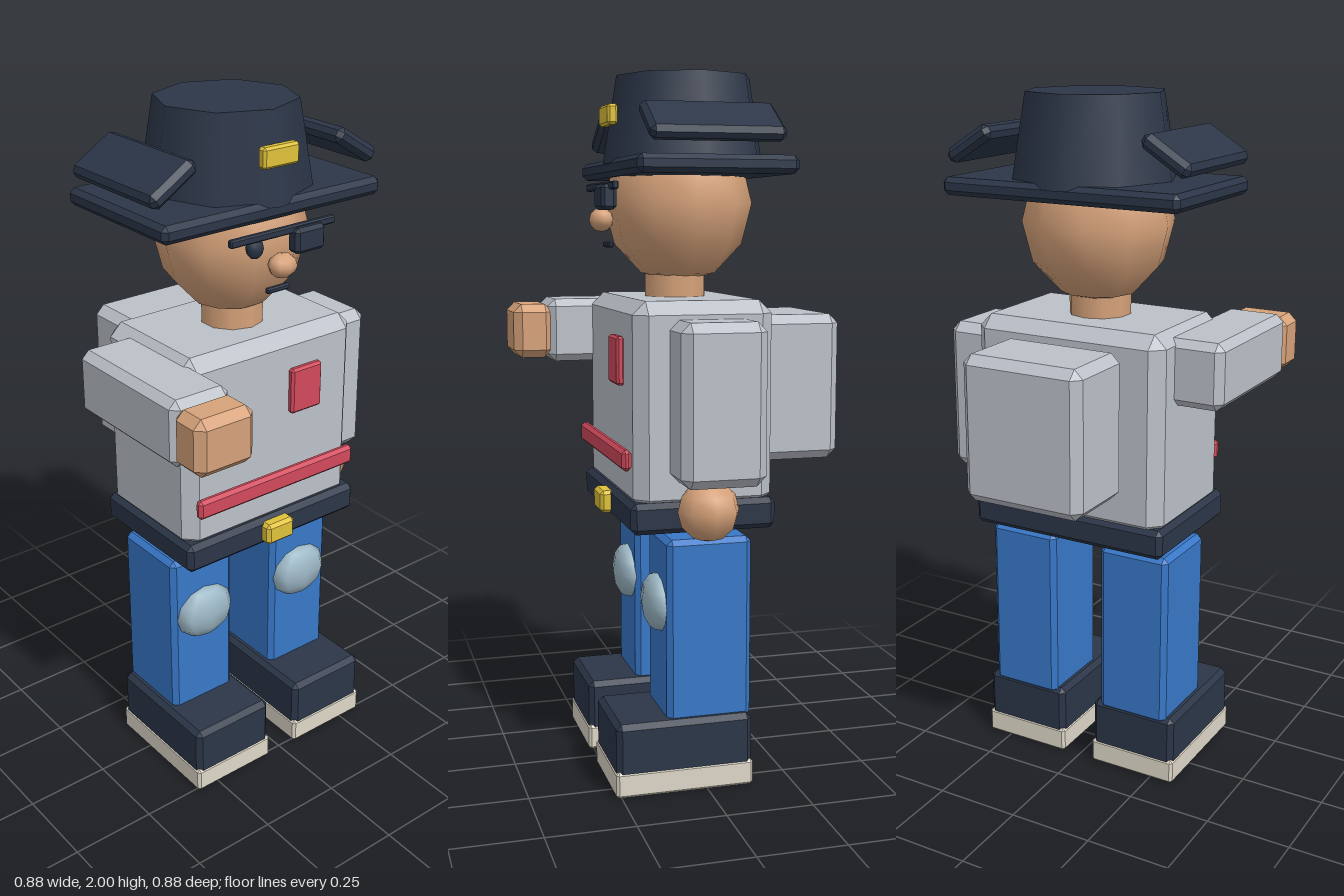
import * as THREE from 'three';
import { ConvexGeometry } from 'three/addons/geometries/ConvexGeometry.js';

const paint = (color) => new THREE.MeshStandardMaterial({ color });
const jacket = paint(0xbcc1c9), navy = paint(0x2c3648), skin = paint(0xd6a27a), red = paint(0xd24a5c);
const denim = paint(0x3878c8), yellow = paint(0xe0c23a), cream = paint(0xded8c8), pad = paint(0x9db8c6);

// Box with a single flat bevel on every edge
function bevelBox(w, h, d, c) {
  const points = [];
  for (const sx of [-1, 1]) for (const sy of [-1, 1]) for (const sz of [-1, 1]) {
    const x = w / 2, y = h / 2, z = d / 2;
    points.push(new THREE.Vector3(sx * x, sy * (y - c), sz * (z - c)));
    points.push(new THREE.Vector3(sx * (x - c), sy * y, sz * (z - c)));
    points.push(new THREE.Vector3(sx * (x - c), sy * (y - c), sz * z));
  }
  return new ConvexGeometry(points);
}

export function createModel() {
  const model = new THREE.Group();
  model.name = 'officerFigure';

  const add = (name, geometry, material, x, y, z) => {
    const mesh = new THREE.Mesh(geometry, material);
    mesh.name = name;
    mesh.position.set(x, y, z);
    model.add(mesh);
    return mesh;
  };
  // Bevelled block given by its limits on each axis
  const block = (name, material, [x0, x1], [y0, y1], [z0, z1], bevel = 0.01) =>
    add(name, bevelBox(x1 - x0, y1 - y0, z1 - z0, bevel), material,
      (x0 + x1) / 2, (y0 + y1) / 2, (z0 + z1) / 2);
  // Faceted-outline ellipsoid with smooth shading
  const ball = (name, material, [x, y, z], [rx, ry, rz], segments = 8) => {
    const mesh = add(name, new THREE.SphereGeometry(1, segments, 6), material, x, y, z);
    mesh.scale.set(rx, ry, rz);
    return mesh;
  };

  // Legs, knee pads and boots
  for (const [side, s] of [['left', 1], ['right', -1]]) {
    const span = (half) => [s * 0.187 - half, s * 0.187 + half];
    block(side + 'Sole', cream, span(0.138), [0, 0.075], [-0.135, 0.265], 0.008);
    block(side + 'Boot', navy, span(0.135), [0.005, 0.21], [-0.132, 0.262], 0.015);
    block(side + 'Leg', denim, span(0.11), [0.19, 0.72], [-0.135, 0.11], 0.015);
    ball(side + 'KneePad', pad, [s * 0.183, 0.52, 0.11], [0.1, 0.083, 0.047]);
  }

  // Torso, belt and trims
  block('torso', jacket, [-0.3, 0.3], [0.8, 1.38], [-0.197, 0.2], 0.037);
  block('belt', navy, [-0.31, 0.31], [0.743, 0.83], [-0.2, 0.215], 0.015);
  block('beltBuckle', yellow, [-0.05, 0.05], [0.755, 0.82], [0.2, 0.245]);
  block('chestStripe', red, [-0.285, 0.28], [0.918, 0.977], [0.206, 0.234]);
  block('chestPatch', red, [0.05, 0.16], [1.14, 1.277], [0.196, 0.22], 0.007);
  block('backpack', jacket, [-0.187, 0.187], [0.91, 1.33], [-0.435, -0.19], 0.026);

  // Left arm hanging, right arm reaching forward
  block('leftArm', jacket, [0.25, 0.437], [0.885, 1.33], [-0.135, 0.105], 0.027);
  ball('leftHand', skin, [0.345, 0.812, 0.008], [0.086, 0.086, 0.088]);
  block('rightArm', jacket, [-0.44, -0.253], [1.17, 1.36], [-0.11, 0.335], 0.022);
  block('rightHand', skin, [-0.44, -0.253], [1.182, 1.345], [0.32, 0.44], 0.024);

  // Neck and head
  add('neck', new THREE.CylinderGeometry(0.09, 0.09, 0.16, 10), skin, 0, 1.44, 0.008);
  ball('head', skin, [0, 1.645, 0], [0.218, 0.23, 0.213], 10);

  // Face
  ball('nose', skin, [0, 1.598, 0.225], [0.043, 0.034, 0.036]);
  ball('rightEye', navy, [-0.08, 1.657, 0.206], [0.026, 0.03, 0.022]);
  block('eyePatch', navy, [0.027, 0.128], [1.625, 1.695], [0.208, 0.252]);
  block('eyePatchBand', navy, [-0.177, 0.177], [1.68, 1.702], [0.214, 0.232], 0.004);
  block('mouth', navy, [-0.039, 0.039], [1.52, 1.536], [0.198, 0.214], 0.004);

  // Hat: brim, tapered crown, badge and folded side flaps
  block('hatBrim', navy, [-0.366, 0.366], [1.718, 1.768], [-0.24, 0.207], 0.014);
  add('hatCrown', new THREE.CylinderGeometry(0.197, 0.238, 0.245, 8), navy, 0, 1.8775, -0.018);
  block('hatBadge', yellow, [-0.06, 0.06], [1.86, 1.917], [0.188, 0.218], 0.007);
  for (const [side, s] of [['left', 1], ['right', -1]]) {
    const flap = add(side + 'HatFlap', bevelBox(0.16, 0.045, 0.375, 0.014), navy, s * 0.304, 1.856, -0.013);
    flap.rotation.z = -s * 0.56;
  }

  return model;
}
